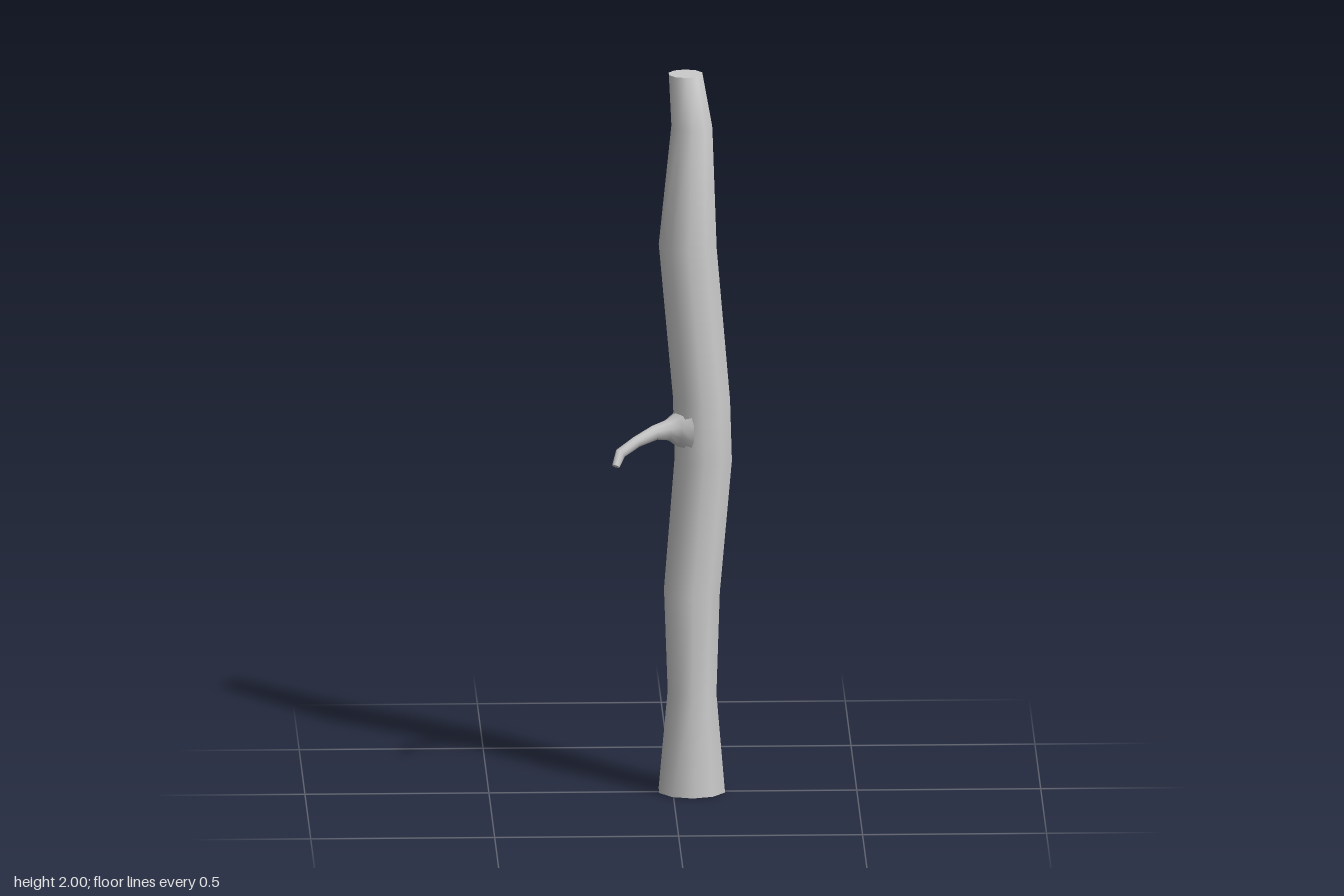
import * as THREE from 'three';
import { mergeVertices } from 'three/addons/utils/BufferGeometryUtils.js';

const SIDES = 10;

// Skin a list of rings (each an array of Vector3) with smooth normals
function skin(rings) {
  const n = rings[0].length, index = [];
  for (let i = 0; i < rings.length - 1; i++) {
    for (let j = 0; j < n; j++) {
      const a = i * n + j, b = i * n + (j + 1) % n;
      index.push(a, a + n, b, b, a + n, b + n);
    }
  }
  const g = new THREE.BufferGeometry().setFromPoints(rings.flat());
  g.setIndex(index);
  g.computeVertexNormals();
  return g;
}

// Flat fan closing a ring; flip turns it to face the other way
function cap(ring, flip) {
  const centre = ring.reduce((s, p) => s.add(p), new THREE.Vector3()).divideScalar(ring.length);
  const pts = [];
  ring.forEach((p, j) => {
    const q = ring[(j + 1) % ring.length];
    pts.push(centre, ...(flip ? [q, p] : [p, q]));
  });
  const g = new THREE.BufferGeometry().setFromPoints(pts);
  g.computeVertexNormals();
  return mergeVertices(g);
}

// Ring of points around c, spanned by u and v (v x u points along the limb)
function ringAt(c, r, u, v) {
  return Array.from({ length: SIDES }, (_, j) => {
    const a = Math.PI / 2 + (j / SIDES) * Math.PI * 2;
    return c.clone().addScaledVector(u, r * Math.cos(a)).addScaledVector(v, r * Math.sin(a));
  });
}

export function createModel() {
  const group = new THREE.Group();
  const material = new THREE.MeshStandardMaterial({ color: 0xcccccc });
  const add = (name, geometry) => {
    const mesh = new THREE.Mesh(geometry, material);
    mesh.name = name;
    group.add(mesh);
  };

  // Trunk: horizontal rings as x, y, z, radius
  const X = new THREE.Vector3(1, 0, 0), Z = new THREE.Vector3(0, 0, 1);
  const trunk = [
    [0.052, 0, -0.013, 0.094],
    [0.052, 0.28, 0.006, 0.069],
    [0.052, 0.56, -0.008, 0.079],
    [0.083, 0.93, -0.008, 0.081],
    [0.078, 1.1, -0.008, 0.081],
    [0.04, 1.53, 0.012, 0.082],
    [0.052, 1.86, -0.007, 0.058],
    [0.036, 2, -0.039, 0.048],
  ].map(([x, y, z, r]) => ringAt(new THREE.Vector3(x, y, z), r, X, Z));
  // Angle runs from +x towards +z, so each ring is clockwise seen from above
  add('trunk', skin(trunk));
  add('trunkBase', cap(trunk[0], false));
  add('trunkTop', cap(trunk[trunk.length - 1], true));

  // Branch: flared at the trunk, thin and drooping at the tip
  const path = [
    [0.03, 1.02, 0.015, 0.07],
    [0.008, 1.02, 0.024, 0.046],
    [-0.015, 1.02, 0.031, 0.029],
    [-0.05, 1.016, 0.043, 0.021],
    [-0.1, 0.995, 0.06, 0.016],
    [-0.145, 0.968, 0.08, 0.015],
    [-0.158, 0.936, 0.098, 0.011],
  ];
  const centres = path.map(([x, y, z]) => new THREE.Vector3(x, y, z));
  const branch = centres.map((c, i) => {
    const t = centres[Math.min(i + 1, centres.length - 1)].clone()
      .sub(centres[Math.max(i - 1, 0)]).normalize();
    const u = new THREE.Vector3(0, 1, 0).cross(t).normalize();
    const v = u.clone().cross(t).normalize();
    return ringAt(c, path[i][3], u, v);
  });
  add('branch', skin(branch));
  add('branchTip', cap(branch[branch.length - 1], true));
  return group;
}
